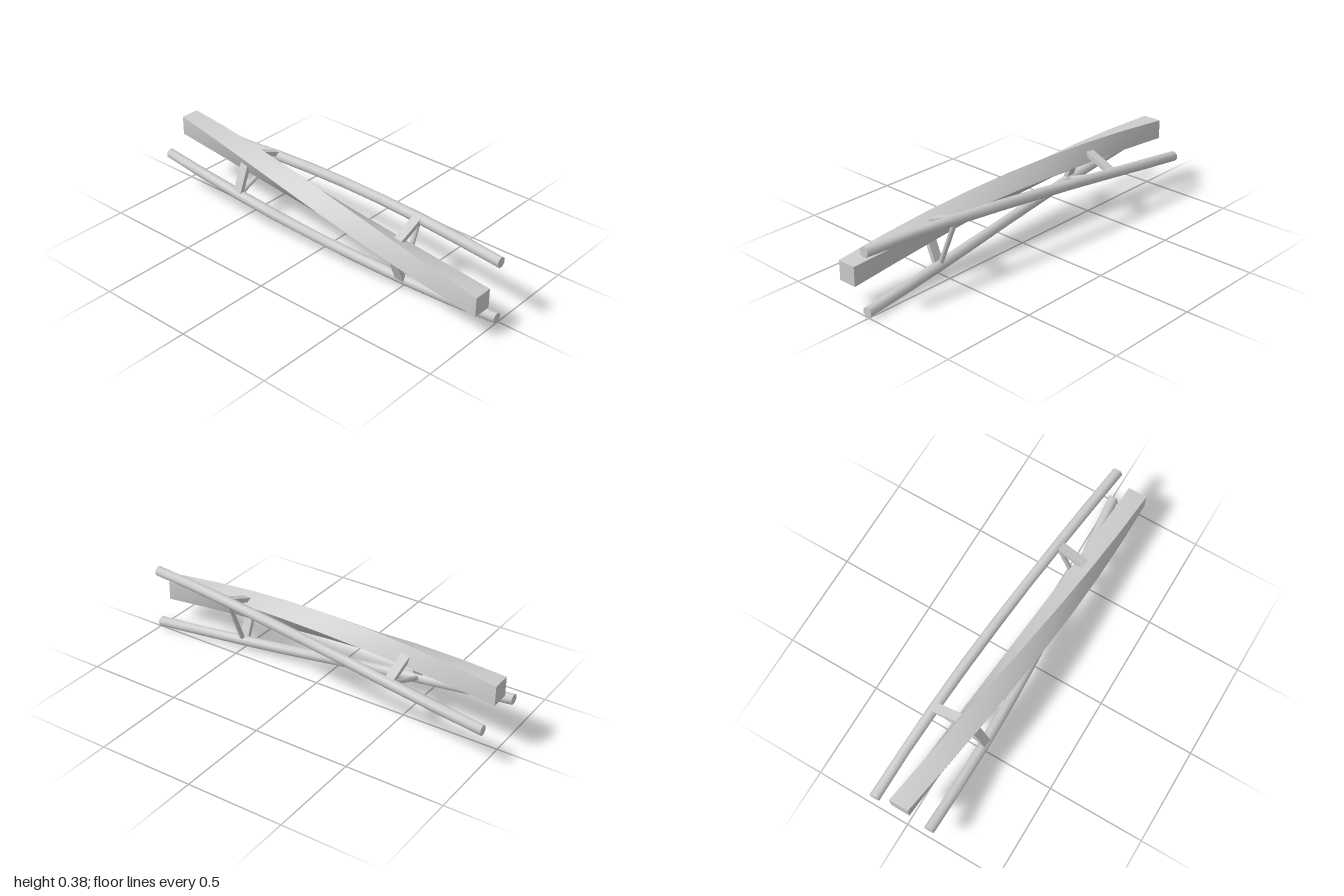
import * as THREE from 'three';
import { toCreasedNormals } from 'three/addons/utils/BufferGeometryUtils.js';

const LENGTH = 2;
const STEPS = 8;
const material = new THREE.MeshStandardMaterial({ color: 0xcccccc });

// The whole truss turns a quarter revolution from front to back.
const twistAt = (z) => ((z - 1) / 2) * (Math.PI / 2);

// Regular polygon with flats facing the axes, centred on (cx, cy).
function polygon(cx, cy, sides, apothem) {
  const r = apothem / Math.cos(Math.PI / sides);
  const points = [];
  for (let i = 0; i < sides; i++) {
    const a = ((i + 0.5) / sides) * Math.PI * 2;
    points.push(new THREE.Vector2(cx + r * Math.cos(a), cy + r * Math.sin(a)));
  }
  return new THREE.Shape(points);
}

// Straight extrusion along z, with every vertex turned by the twist.
function twistedBar(name, shape) {
  const geometry = new THREE.ExtrudeGeometry(shape, { depth: LENGTH, steps: STEPS, bevelEnabled: false });
  geometry.translate(0, 0, -LENGTH / 2);
  const pos = geometry.attributes.position;
  const v = new THREE.Vector3();
  const axis = new THREE.Vector3(0, 0, 1);
  for (let i = 0; i < pos.count; i++) {
    v.fromBufferAttribute(pos, i).applyAxisAngle(axis, twistAt(v.z));
    pos.setXYZ(i, v.x, v.y, v.z);
  }
  const mesh = new THREE.Mesh(toCreasedNormals(geometry, 0.9), material);
  mesh.name = name;
  return mesh;
}

// Brace frame joining the three long members at one station.
function braceFrame(name, z) {
  const frame = new THREE.Group();
  frame.name = name;
  frame.position.z = z;
  frame.rotation.z = twistAt(z);

  // Round strut between the two tubes
  const strut = new THREE.Mesh(new THREE.CylinderGeometry(0.0125, 0.0125, 0.3, 8), material);
  strut.name = 'roundStrut';
  strut.position.x = -0.025;
  frame.add(strut);

  // Flat diagonal braces from the beam to each tube
  for (const side of [1, -1]) {
    const brace = new THREE.Mesh(new THREE.BoxGeometry(0.17, 0.023, 0.048), material);
    brace.name = side > 0 ? 'upperDiagonalBrace' : 'lowerDiagonalBrace';
    brace.position.set(-0.1, side * 0.09, 0);
    brace.rotation.z = side * Math.PI / 4;
    frame.add(brace);
  }
  return frame;
}

export function createModel() {
  const model = new THREE.Group();
  model.name = 'twistedTruss';

  // Parts are laid out around the twist axis
  const truss = new THREE.Group();
  truss.name = 'truss';
  truss.position.set(0.015, 0.176, 0);
  truss.add(
    twistedBar('squareBeam', polygon(-0.15, 0, 4, 0.05)),
    twistedBar('upperTube', polygon(-0.025, 0.15, 8, 0.025)),
    twistedBar('lowerTube', polygon(-0.025, -0.15, 8, 0.025)),
    braceFrame('frontBraceFrame', 0.5),
    braceFrame('rearBraceFrame', -0.5),
  );
  model.add(truss);
  return model;
}
